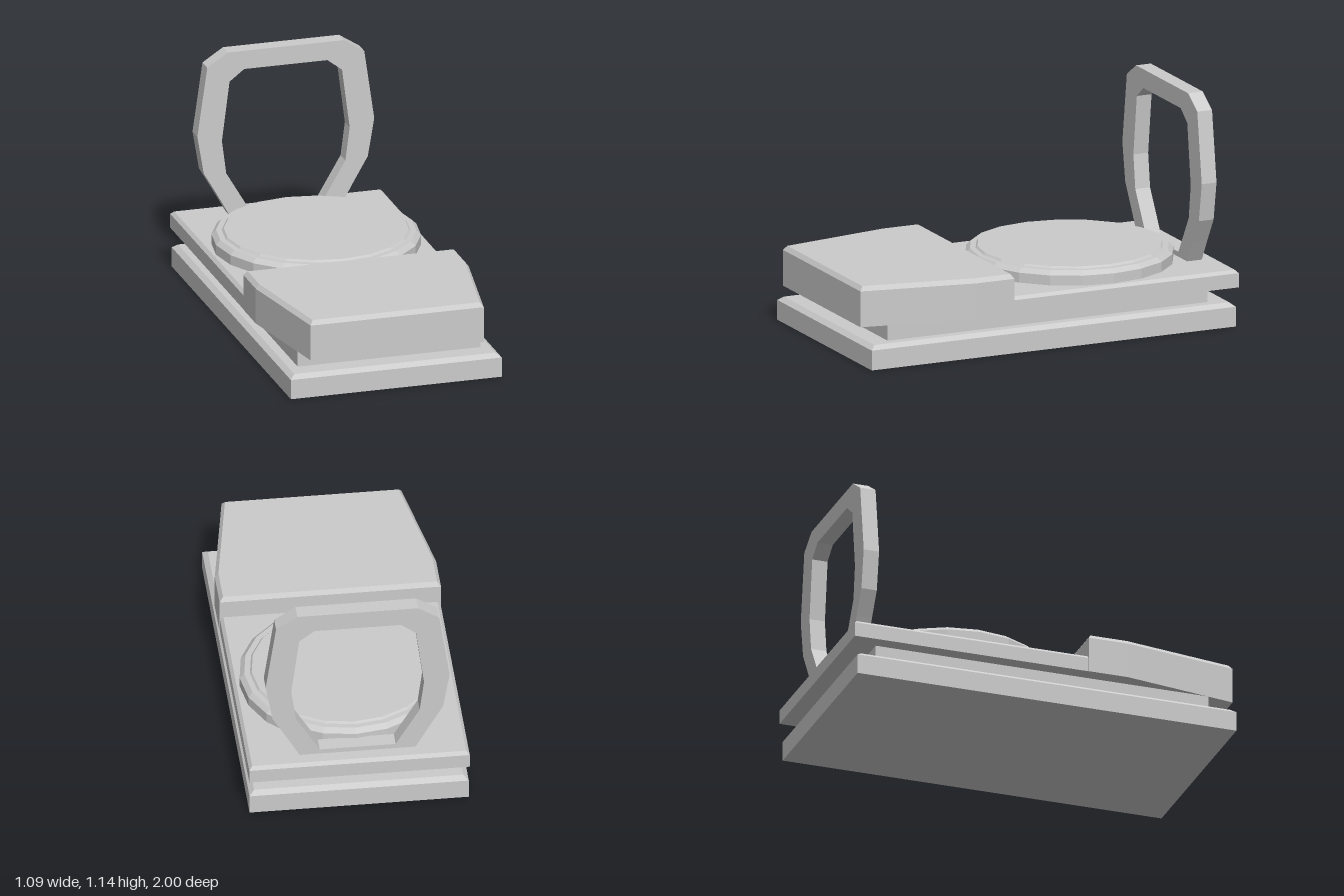
import * as THREE from 'three';

const material = new THREE.MeshStandardMaterial({ color: 0xcccccc, flatShading: true });

function addMesh(group, name, geometry) {
  const mesh = new THREE.Mesh(geometry, material);
  mesh.name = name;
  group.add(mesh);
  return mesh;
}

// Solid stacked from convex [x, z] outlines (clockwise seen from above reversed: +x, front, -x, back)
function stack(layers) {
  const pos = [];
  const n = layers[0].outline.length;
  const point = (l, i) => {
    const [x, z] = layers[l].outline[i % n];
    return [x, layers[l].y, z];
  };
  const tri = (a, b, c) => pos.push(...a, ...b, ...c);
  for (let l = 0; l < layers.length - 1; l++) {
    for (let i = 0; i < n; i++) {
      const a = point(l, i), b = point(l, i + 1), c = point(l + 1, i + 1), d = point(l + 1, i);
      tri(a, b, c);
      tri(a, c, d);
    }
  }
  const top = layers.length - 1;
  for (let i = 1; i < n - 1; i++) {
    tri(point(top, 0), point(top, i), point(top, i + 1));
    tri(point(0, 0), point(0, i + 1), point(0, i));
  }
  const geometry = new THREE.BufferGeometry();
  geometry.setAttribute('position', new THREE.Float32BufferAttribute(pos, 3));
  geometry.computeVertexNormals();
  return geometry;
}

// Rectangle outline, running counter-clockwise seen from above
const rect = (x, back, front) => [[x, front], [x, back], [-x, back], [-x, front]];

// Slab with a chamfer around its top edge
function slab(x, back, front, y0, y1, chamfer, inset) {
  const outer = rect(x, back, front);
  return stack([
    { y: y0, outline: outer },
    { y: y1 - chamfer, outline: outer },
    { y: y1, outline: rect(x - inset, back + inset, front - inset) },
  ]);
}

// Front block outline: straight at the back, narrowing to the front
const taper = (x, back, mid, xFront, front) => [
  [xFront, front], [x, mid], [x, back], [-x, back], [-x, mid], [-xFront, front],
];

export function createModel() {
  const group = new THREE.Group();

  // Layered base
  addMesh(group, 'basePlate', slab(0.54, -0.985, 0.985, 0, 0.12, 0.02, 0.025));
  addMesh(group, 'neck', stack([
    { y: 0.12, outline: rect(0.468, -0.865, 0.865) },
    { y: 0.2, outline: rect(0.468, -0.865, 0.865) },
  ]));
  addMesh(group, 'deck', slab(0.543, -1, 0.24, 0.197, 0.285, 0.016, 0.016));

  // Tapered raised block at the front
  const blockOuter = taper(0.545, 0.215, 0.42, 0.443, 1);
  addMesh(group, 'frontBlock', stack([
    { y: 0.197, outline: blockOuter },
    { y: 0.378, outline: blockOuter },
    { y: 0.4, outline: taper(0.527, 0.23, 0.42, 0.428, 0.983) },
  ]));

  // Round seat disc with a stepped rim
  const rim = [[0, 0.28], [0.513, 0.28], [0.513, 0.335], [0.49, 0.357], [0.462, 0.357], [0.453, 0.367], [0, 0.367]];
  const disc = addMesh(group, 'disc',
    new THREE.LatheGeometry(rim.map(([r, y]) => new THREE.Vector2(r, y)), 20));
  disc.position.z = -0.34;

  // Upright faceted hoop at the back
  const mirrored = (half) => [...half, ...half.map(([x, y]) => [-x, y]).reverse()]
    .map(([x, y]) => new THREE.Vector2(x, y));
  const hoop = new THREE.Shape(mirrored(
    [[0.283, 0.28], [0.35, 0.4], [0.42, 0.52], [0.453, 0.715], [0.402, 1.07], [0.297, 1.138]]));
  hoop.holes.push(new THREE.Path(mirrored(
    [[0.187, 0.31], [0.24, 0.4], [0.305, 0.51], [0.327, 0.68], [0.288, 0.985], [0.213, 1.043]])));
  const hoopMesh = addMesh(group, 'hoop',
    new THREE.ExtrudeGeometry(hoop, { depth: 0.08, bevelEnabled: false }));
  hoopMesh.position.z = -0.922;

  return group;
}
